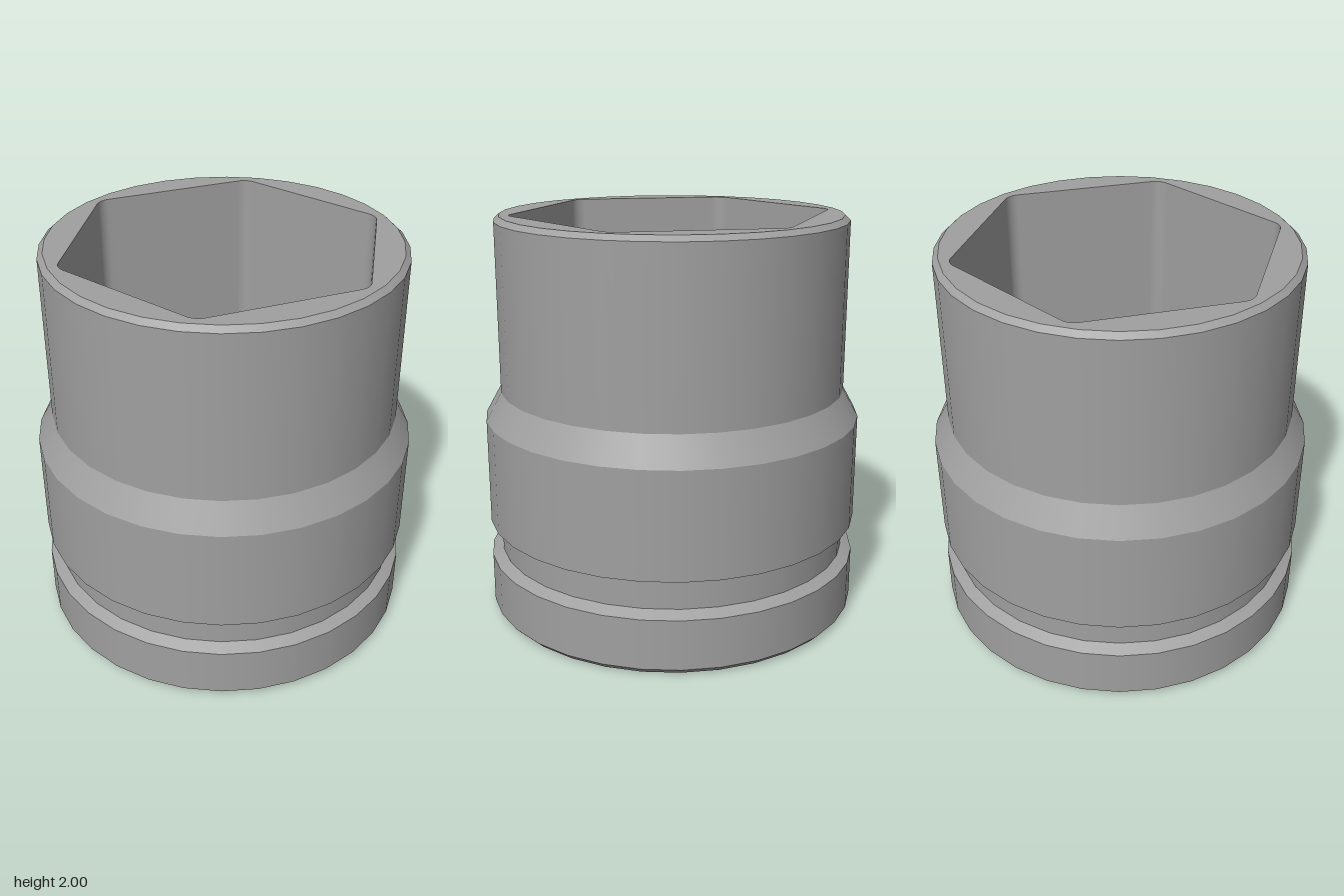
import * as THREE from 'three';
import { mergeGeometries } from 'three/addons/utils/BufferGeometryUtils.js';

const SLOPE = Math.tan(Math.PI / 6); // pitch of the inner lead-in cones
const FLOOR = 1.0;                   // bottom of the hex pocket
const SEAT_R = 0.58, ENTRY_R = 0.505;

// Polygon with rounded corners, as polar samples { a: angle, r: radius }
function roundedPolygon(sides, apothem, radius, turn) {
  const half = Math.PI / sides;
  const inner = apothem - radius;
  const centre = inner / Math.cos(half);
  const run = inner * Math.tan(half);
  const points = [];
  for (let s = 0; s < sides; s++) {
    const corner = turn + s * 2 * half;
    for (let i = 0; i <= 8; i++) { // corner arc
      const n = corner + half * (i / 4 - 1);
      points.push([centre * Math.cos(corner) + radius * Math.cos(n),
        centre * Math.sin(corner) + radius * Math.sin(n)]);
    }
    const n = corner + half;
    for (let i = 1; i < 12; i++) { // straight side
      const t = run * (i / 6 - 1);
      points.push([apothem * Math.cos(n) - t * Math.sin(n), apothem * Math.sin(n) + t * Math.cos(n)]);
    }
  }
  return points.map(([x, z]) => ({ a: Math.atan2(z, x), r: Math.hypot(x, z) }));
}

// Ring of 3D points; height may depend on the radius
const ring = (polar, height, radius) => polar.map(({ a, r }) => {
  const d = radius ?? r;
  return new THREE.Vector3(d * Math.cos(a), height(r), d * Math.sin(a));
});

// Inward-facing wall between two rings
function innerBand(low, up) {
  const n = low.length, index = [];
  for (let i = 0; i < n; i++) {
    const j = (i + 1) % n;
    index.push(i, j, n + i, j, n + j, n + i);
  }
  const g = new THREE.BufferGeometry().setFromPoints([...low, ...up]);
  g.setIndex(index);
  g.computeVertexNormals();
  return g;
}

// Flat horizontal face with a hole
function flatFace(outer, hole, y, up) {
  const flat = (pts) => pts.map((p) => new THREE.Vector2(p.x, up ? -p.z : p.z));
  const shape = new THREE.Shape(flat(outer));
  shape.holes.push(new THREE.Path(flat(hole)));
  return new THREE.ShapeGeometry(shape).rotateX(up ? -Math.PI / 2 : Math.PI / 2).translate(0, y, 0);
}

export function createModel() {
  const group = new THREE.Group();
  group.name = 'impactSocket';
  const steel = new THREE.MeshStandardMaterial({ color: 0xa0a0a0 });
  steel.name = 'steel grey';
  const add = (name, geometry) => {
    const mesh = new THREE.Mesh(geometry, steel);
    mesh.name = name;
    group.add(mesh);
  };

  // Outer wall: one band per profile step keeps the rims sharp
  const profile = [[0.915, 0], [0.945, 0.03], [0.945, 0.28], [0.89, 0.31], [0.89, 0.445],
    [0.945, 0.47], [0.945, 1.0], [0.867, 1.14], [0.867, 1.975], [0.84, 2]]
    .map(([r, y]) => new THREE.Vector2(r, y));
  const bands = profile.slice(1).map((p, i) => new THREE.LatheGeometry([profile[i], p], 32));
  add('outerWall', mergeGeometries(bands));

  const hex = roundedPolygon(6, 0.695, 0.08, 0);
  const square = roundedPolygon(4, 0.378, 0.08, Math.PI / 4 + 0.115);
  const round = Array.from({ length: 32 }, (_, i) => ({ a: i * Math.PI / 16, r: 1 }));
  const at = (y) => () => y;

  // Hex pocket for the nut
  const hexTop = ring(hex, at(2)), hexLow = ring(hex, at(FLOOR));
  add('topRim', flatFace(ring(round, at(2), 0.84), hexTop, 2, true));
  add('hexPocket', innerBand(hexLow, hexTop));

  // Pocket floor and the cone leading down to the square drive
  const seat = ring(square, at(FLOOR), SEAT_R);
  const driveTop = ring(square, (r) => FLOOR - (SEAT_R - r) * SLOPE);
  add('pocketFloor', flatFace(hexLow, seat, FLOOR, true));
  add('floorCone', innerBand(driveTop, seat));

  // Square drive hole with its chamfered entry
  const entry = ring(square, at(0), ENTRY_R);
  const driveLow = ring(square, (r) => Math.max(0, ENTRY_R - r) * SLOPE);
  add('squareDrive', innerBand(driveLow, driveTop));
  add('driveChamfer', innerBand(entry, driveLow));
  add('bottomFace', flatFace(ring(round, at(0), 0.915), entry, 0, false));

  return group;
}
